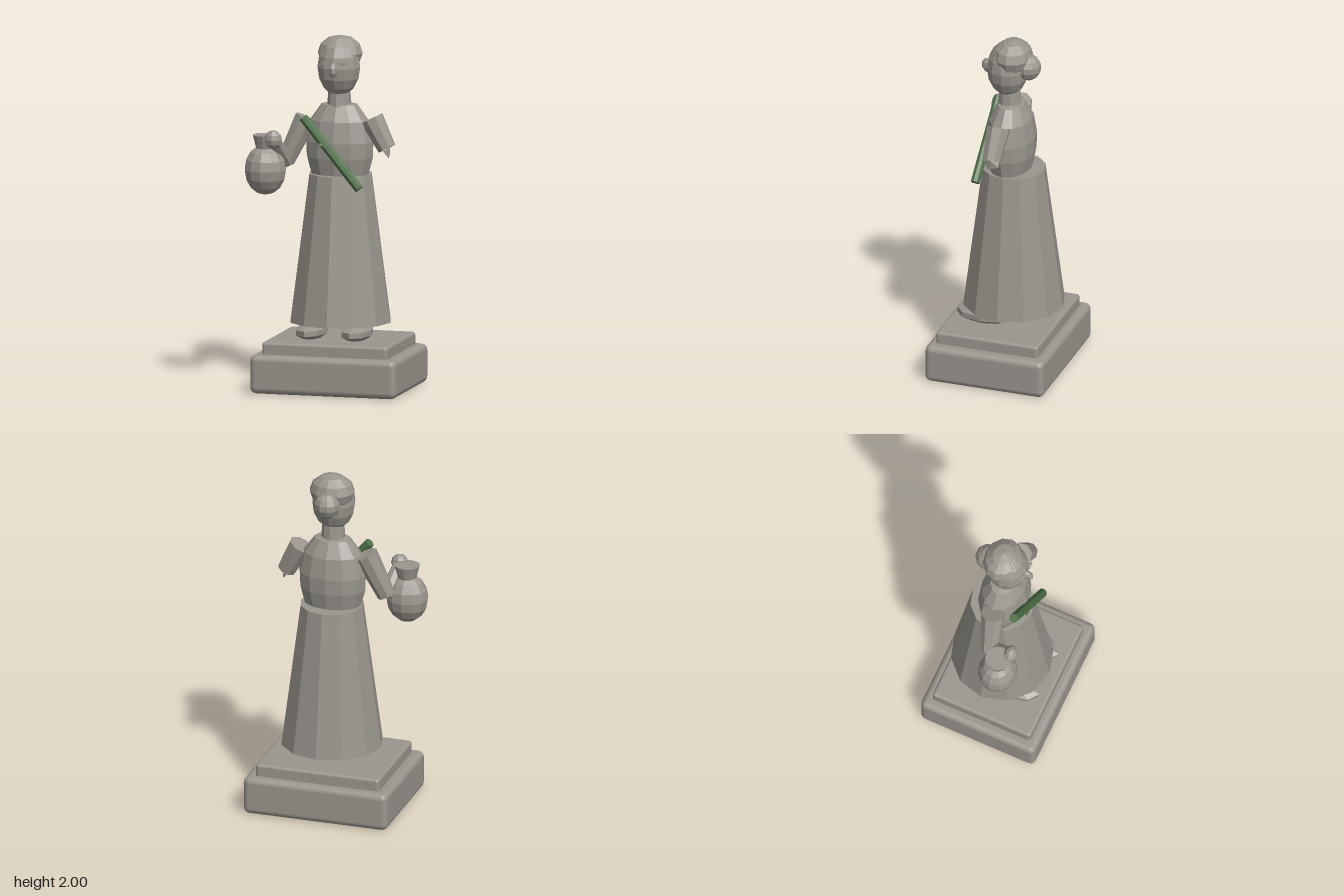
import * as THREE from 'three';
import { RoundedBoxGeometry } from 'three/addons/geometries/RoundedBoxGeometry.js';

export function createModel() {
  const model = new THREE.Group();
  model.name = 'statue';

  const stone = new THREE.MeshStandardMaterial({ color: 0x99958e });
  stone.name = 'stone';
  stone.flatShading = true;
  const smoothStone = stone.clone();
  smoothStone.name = 'smooth stone';
  smoothStone.flatShading = false;
  const green = new THREE.MeshStandardMaterial({ color: 0x4f7048 });
  green.name = 'bamboo green';
  green.flatShading = true;

  const CX = 0.045; // centre line of the figure

  function add(name, geometry, x, y, z, material = stone) {
    const mesh = new THREE.Mesh(geometry, material);
    mesh.name = name;
    mesh.position.set(x, y, z);
    model.add(mesh);
    return mesh;
  }

  // Faceted ellipsoid
  function blob(name, x, y, z, rx, ry, rz, sides = 10, rings = 7) {
    const g = new THREE.SphereGeometry(1, sides, rings);
    g.scale(rx, ry, rz);
    return add(name, g, x, y, z);
  }

  // Tapered rod from point a to point b
  function limb(name, a, b, ra, rb, sides = 8, material = stone) {
    const from = new THREE.Vector3(...a), to = new THREE.Vector3(...b);
    const dir = to.clone().sub(from);
    const mid = from.clone().add(to).multiplyScalar(0.5);
    const g = new THREE.CylinderGeometry(rb, ra, dir.length(), sides);
    const mesh = add(name, g, mid.x, mid.y, mid.z, material);
    mesh.quaternion.setFromUnitVectors(new THREE.Vector3(0, 1, 0), dir.normalize());
    return mesh;
  }

  function lathe(points, sides) {
    return new THREE.LatheGeometry(points.map(([r, y]) => new THREE.Vector2(r, y)), sides);
  }

  // Plinth
  add('plinthBase', new RoundedBoxGeometry(0.85, 0.22, 0.705, 2, 0.035), CX, 0.11, 0, smoothStone);
  add('plinthStep', new RoundedBoxGeometry(0.73, 0.09, 0.605, 2, 0.018), CX, 0.245, 0, smoothStone);

  // Feet
  for (const side of [-1, 1]) {
    blob(side < 0 ? 'rightFoot' : 'leftFoot', CX + side * 0.132, 0.335, 0.088, 0.088, 0.048, 0.175, 8, 5);
  }

  // Robe and torso
  add('robe', new THREE.CylinderGeometry(0.18, 0.29, 0.84, 12), CX, 0.795, -0.035);
  const torso = lathe([[0, 1.19], [0.16, 1.19], [0.192, 1.31], [0.196, 1.4], [0.17, 1.52],
    [0.105, 1.61], [0, 1.625]], 12);
  torso.scale(1, 1, 0.7);
  add('torso', torso, CX, 0, -0.02);

  // Head
  add('neck', new THREE.CylinderGeometry(0.058, 0.07, 0.14, 10), CX, 1.66, -0.01);
  blob('head', CX, 1.823, 0, 0.124, 0.165, 0.118, 12, 8);
  blob('hair', CX, 1.9, -0.03, 0.13, 0.1, 0.112, 12, 6);
  blob('hairBun', CX, 1.845, -0.12, 0.075, 0.075, 0.075, 10, 7);
  blob('nose', CX, 1.82, 0.11, 0.025, 0.046, 0.048, 8, 5);
  for (const side of [-1, 1]) {
    add(side < 0 ? 'rightEye' : 'leftEye', new THREE.BoxGeometry(0.038, 0.014, 0.02),
      CX + side * 0.047, 1.856, 0.11);
  }

  // Broken left arm
  limb('leftArmStump', [0.235, 1.535, -0.01], [0.325, 1.37, 0], 0.068, 0.053, 8);
  const fracture = add('leftArmFracture', new THREE.ConeGeometry(0.052, 0.03, 5), 0.33, 1.368, 0);
  fracture.rotation.z = -1.1;

  // Right arm holding the jar
  limb('rightUpperArm', [-0.145, 1.525, -0.005], [-0.258, 1.28, 0.025], 0.068, 0.052, 8);
  limb('rightForearm', [-0.25, 1.275, 0.03], [-0.287, 1.41, 0.155], 0.042, 0.036, 8);
  blob('rightHand', -0.289, 1.42, 0.17, 0.052, 0.054, 0.043, 8, 6);

  // Jar
  blob('jarBody', -0.35, 1.24, 0.118, 0.12, 0.142, 0.112, 12, 8);
  add('jarNeck', new THREE.CylinderGeometry(0.072, 0.05, 0.085, 12), -0.35, 1.395, 0.118);

  // Bamboo staff across the chest with a small side shoot
  limb('staff', [-0.13, 1.545, 0.115], [0.203, 1.155, 0.14], 0.027, 0.027, 8, green);
  limb('staffShoot', [0.0, 1.39, 0.14], [-0.035, 1.405, 0.152], 0.012, 0.004, 5, green);

  return model;
}
